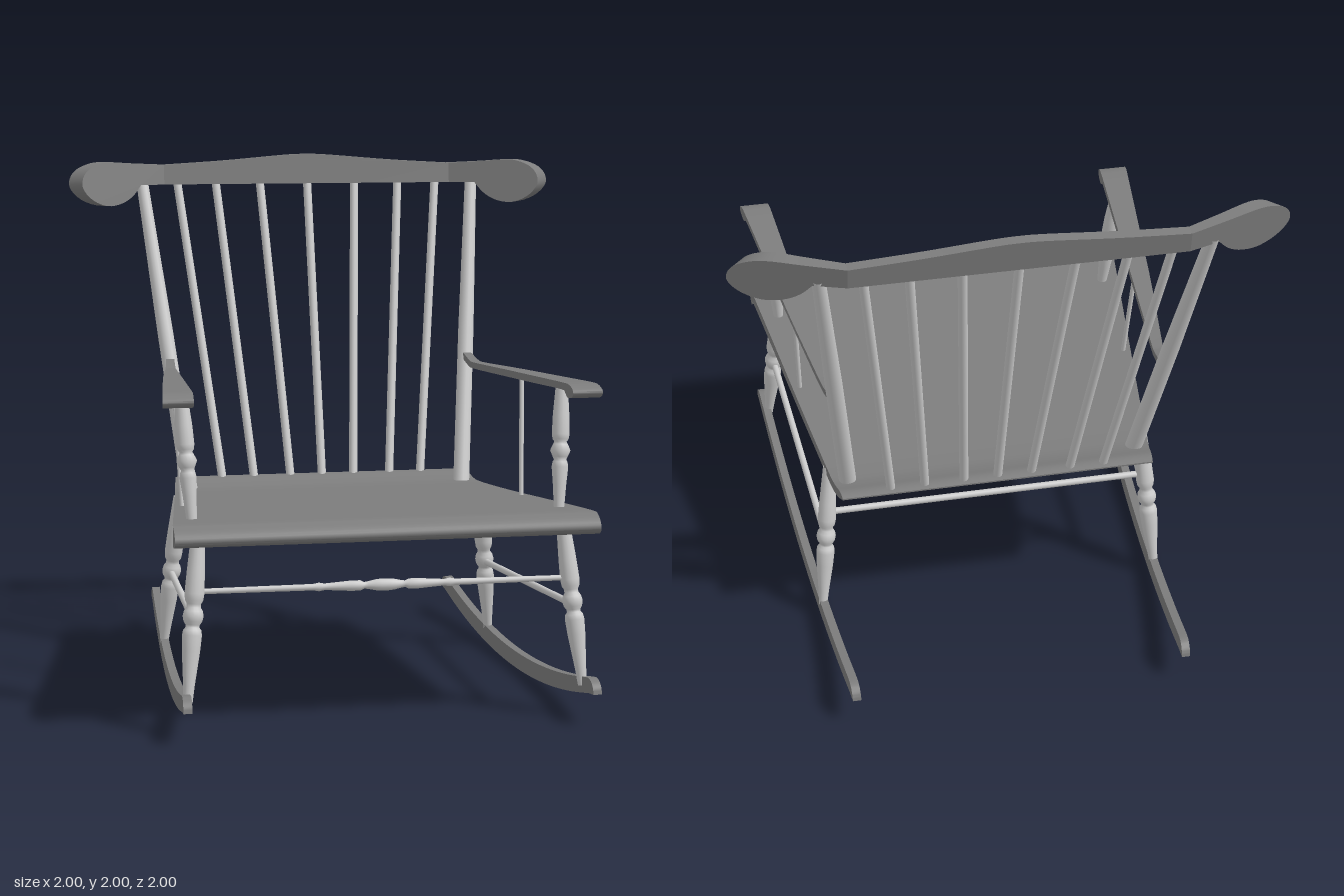
import * as THREE from 'three';
import { toCreasedNormals } from 'three/addons/utils/BufferGeometryUtils.js';

const turnedWood = new THREE.MeshStandardMaterial({ color: 0xcccccc, side: THREE.DoubleSide });
const darkWood = new THREE.MeshStandardMaterial({ color: 0x7d7d7d, side: THREE.DoubleSide });

export function createModel() {
  const group = new THREE.Group();

  const add = (name, geometry, material) => {
    const mesh = new THREE.Mesh(geometry, material);
    mesh.name = name;
    group.add(mesh);
    return mesh;
  };

  // Extrudes an outline by depth 0..1, then places each vertex by a rule (a, b, depth) -> [x, y, z]
  const shaped = (name, shape, rule) => {
    const geo = new THREE.ExtrudeGeometry(shape, { depth: 1, bevelEnabled: false, curveSegments: 3 });
    const p = geo.attributes.position;
    for (let i = 0; i < p.count; i++) p.setXYZ(i, ...rule(p.getX(i), p.getY(i), p.getZ(i)));
    add(name, toCreasedNormals(geo, 0.6), darkWood);
  };

  // Smooth outline made of spline runs joined at sharp corners
  const outline = (...runs) => {
    const shape = new THREE.Shape();
    shape.moveTo(...runs[0][0]);
    runs.forEach((run, i) => {
      const pts = run.map(([a, b]) => new THREE.Vector2(a, b));
      if (i > 0) shape.lineTo(pts[0].x, pts[0].y);
      shape.splineThru(pts.slice(1));
    });
    shape.closePath();
    return shape;
  };

  // Side outline (z, y) spread across x between two edges
  const slab = (name, shape, lo, hi) =>
    shaped(name, shape, (z, y, d) => [hi(z) + (lo(z) - hi(z)) * d, y, z]);
  const slabPair = (name, shape, inner, outer) => {
    slab(name + 'Left', shape, inner, outer);
    slab(name + 'Right', shape, z => -outer(z), z => -inner(z));
  };

  // Round stick from a to b; a profile lists [fraction, radius], a number is a plain radius
  const stick = (name, a, b, profile) => {
    const from = new THREE.Vector3(...a), dir = new THREE.Vector3(...b).sub(from);
    const len = dir.length();
    const geo = typeof profile === 'number'
      ? new THREE.CylinderGeometry(profile, profile, len, 14).translate(0, len / 2, 0)
      : new THREE.LatheGeometry(profile.map(([t, r]) => new THREE.Vector2(r, t * len)), 16);
    const mesh = add(name, geo, turnedWood);
    mesh.position.copy(from);
    mesh.quaternion.setFromUnitVectors(new THREE.Vector3(0, 1, 0), dir.normalize());
  };
  const stickPair = (name, a, b, profile) => {
    for (const [side, s] of [['Left', 1], ['Right', -1]])
      stick(name + side, [a[0] * s, a[1], a[2]], [b[0] * s, b[1], b[2]], profile);
  };

  // Rockers, splayed outwards to the front
  const top = [], bottom = [];
  for (let i = -9; i <= 9; i++) {
    const z = i / 10;
    top.push([z, 0.065 + 0.117 * z * z]);
    bottom.unshift([z, 0.124 * z * z]);
  }
  const rocker = outline(
    [...top, [0.945, 0.166], [0.975, 0.157], [0.994, 0.138], [1, 0.117]],
    [[1, 0.117], [0.95, 0.111], ...bottom, [-0.95, 0.111], [-1, 0.117]],
    [[-1, 0.117], [-0.994, 0.138], [-0.975, 0.157], [-0.945, 0.166], top[0]],
  );
  slabPair('rocker', rocker, z => 0.674 + 0.055 * z, z => 0.706 + 0.055 * z);

  // Seat with rolled front and upturned back
  const seat = outline(
    [[-0.53, 0.706], [-0.49, 0.712], [-0.42, 0.692], [-0.33, 0.685], [0, 0.703], [0.4, 0.732], [0.8, 0.76],
      [0.87, 0.755], [0.91, 0.73], [0.915, 0.705], [0.89, 0.688], [0.855, 0.688], [0.83, 0.708], [0.79, 0.716],
      [0.4, 0.69], [0, 0.663], [-0.3, 0.646], [-0.39, 0.646], [-0.46, 0.664], [-0.53, 0.7]],
  );
  const seatEdge = z => 0.6 + 0.175 * Math.min(1, (z + 0.53) / 1.38);
  slab('seat', seat, z => -seatEdge(z), seatEdge);

  // Armrests, widening to the front
  const arm = outline(
    [[-0.55, 1.192], [-0.52, 1.188], [-0.45, 1.17], [-0.38, 1.167], [0, 1.186], [0.4, 1.205], [0.7, 1.219],
      [0.77, 1.218], [0.81, 1.203], [0.812, 1.186], [0.79, 1.173], [0.75, 1.17], [0.725, 1.186], [0.68, 1.192],
      [0.4, 1.178], [0, 1.159], [-0.38, 1.142], [-0.46, 1.146], [-0.55, 1.17]],
  );
  slabPair('armrest', arm, z => 0.636 + 0.068 * z, z => 0.707 + (z > 0 ? 0.118 : 0.14) * z);

  // Turned legs and arm posts
  const leg = [[0, 0.017], [0.1, 0.021], [0.3, 0.033], [0.39, 0.036], [0.42, 0.033], [0.435, 0.025],
    [0.45, 0.026], [0.47, 0.034], [0.5, 0.038], [0.53, 0.034], [0.55, 0.026], [0.57, 0.026],
    [0.59, 0.033], [0.63, 0.036], [0.75, 0.033], [1, 0.024]];
  stickPair('frontLeg', [0.728, 0.12, 0.86], [0.672, 0.73, 0.757], leg);
  stickPair('rearLeg', [0.672, 0.06, -0.362], [0.615, 0.67, -0.273], leg);
  const post = [[0, 0.019], [0.2, 0.025], [0.34, 0.031], [0.38, 0.028], [0.4, 0.023], [0.42, 0.028],
    [0.47, 0.038], [0.52, 0.028], [0.54, 0.023], [0.56, 0.03], [0.6, 0.033], [0.75, 0.031], [1, 0.022]];
  stickPair('armPost', [0.684, 0.74, 0.667], [0.71, 1.2, 0.592], post);
  stickPair('armSpindle', [0.66, 0.67, 0.205], [0.68, 1.175, 0.12], 0.009);

  // Stretchers between the legs
  stickPair('sideStretcher', [0.7, 0.413, 0.81], [0.645, 0.355, -0.318], 0.013);
  stick('rearStretcher', [-0.635, 0.47, -0.302], [0.635, 0.47, -0.302], 0.013);
  const half = [[0, 0.01], [0.31, 0.012], [0.325, 0.016], [0.34, 0.012], [0.36, 0.014], [0.41, 0.019],
    [0.435, 0.019], [0.445, 0.012], [0.455, 0.014], [0.475, 0.02], [0.49, 0.022]];
  const turned = [...half, ...half.map(([t, r]) => [1 - t, r]).reverse()];
  stick('frontStretcher', [-0.69, 0.51, 0.794], [0.69, 0.51, 0.794], turned);

  // Back posts and fanned spindles
  stickPair('backPost', [0.56, 0.675, -0.385], [0.693, 1.9, -0.815], [[0, 0.033], [0.5, 0.032], [1, 0.024]]);
  [[0, 0], [0.13, 0.2], [0.28, 0.385], [0.41, 0.545]].forEach(([low, high], i) => {
    const args = [[low, 0.69, -0.493], [high, 1.9, -0.845], 0.017];
    if (i) stickPair('backSpindle' + i, ...args);
    else stick('backSpindleCentre', ...args);
  });

  // Crest rail: peaked centre and forward-swept wings with rounded ears
  const crestRule = (x, y, d) => {
    const u = Math.max(0, (Math.abs(x) - 0.6) / 0.4);
    const back = -0.873 + 0.135 * u, front = -0.827 + 0.14 * u;
    return [x - Math.sign(x) * 0.05 * u * d, y, back + (front - back) * d - 0.15 * (y - 1.95)];
  };
  shaped('crestCentre', outline(
    [[0.6, 1.96], [0.35, 1.975], [0.1, 1.996], [0, 2], [-0.1, 1.996], [-0.35, 1.975], [-0.6, 1.96]],
    [[-0.6, 1.88], [0.6, 1.88]],
  ), crestRule);
  for (const [side, s] of [['Left', 1], ['Right', -1]]) {
    const flip = pts => pts.map(([x, y]) => [x * s, y]);
    shaped('crestWing' + side, outline(
      flip([[0.6, 1.88], [0.715, 1.88]]),
      flip([[0.715, 1.88], [0.755, 1.837], [0.81, 1.808], [0.88, 1.8], [0.95, 1.826], [0.993, 1.87], [0.995, 1.91],
        [0.97, 1.945], [0.92, 1.968], [0.86, 1.976], [0.74, 1.968], [0.6, 1.96]]),
    ), crestRule);
  }

  return group;
}
